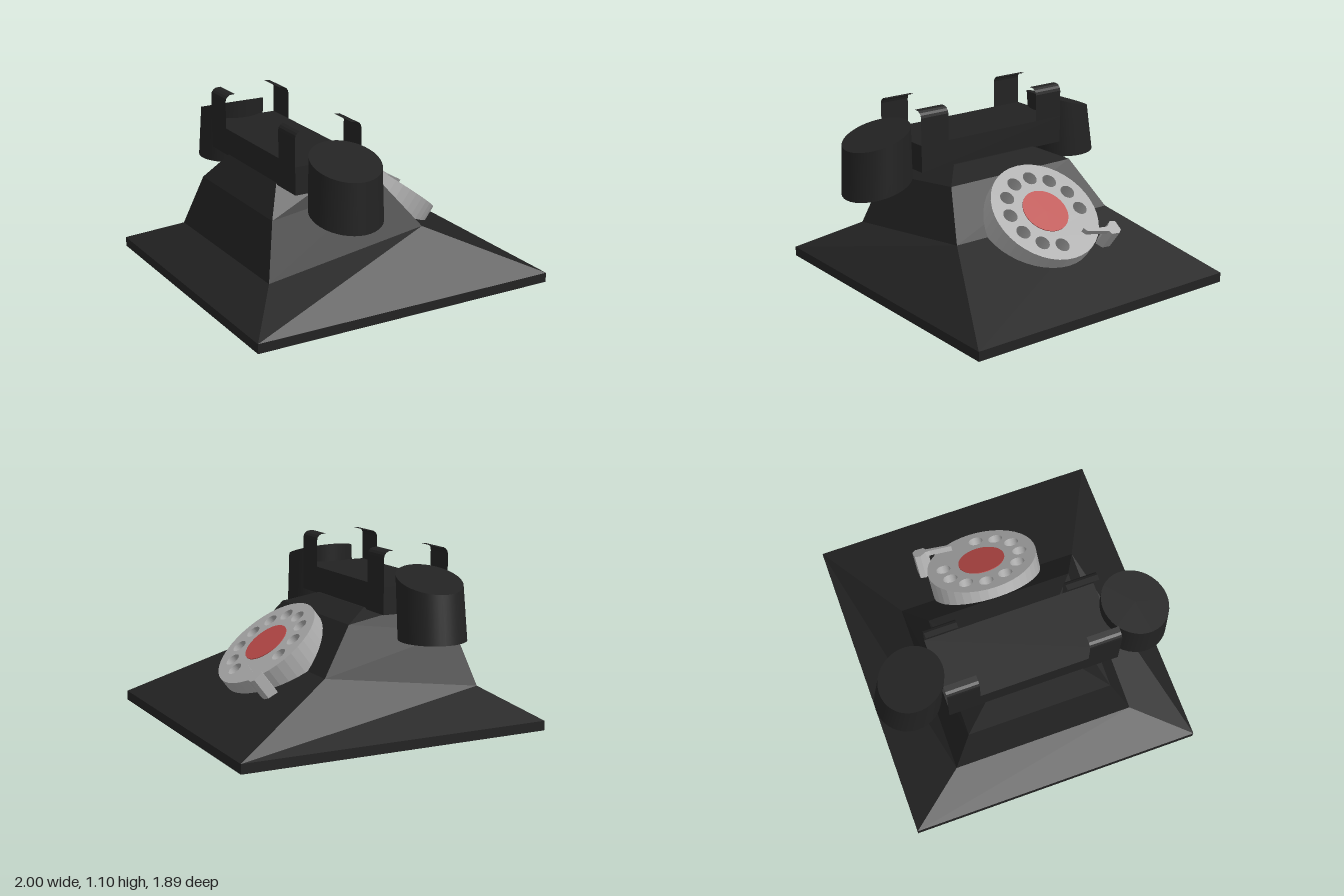
import * as THREE from 'three';

const black = new THREE.MeshStandardMaterial({ color: 0x222222, side: THREE.DoubleSide });
black.name = 'black casing';
const grey = new THREE.MeshStandardMaterial({ color: 0xaaaaaa });
grey.name = 'grey dial';
const red = new THREE.MeshStandardMaterial({ color: 0xba4a48 });
red.name = 'red centre';

function part(name, geometry, material, parent) {
  const mesh = new THREE.Mesh(geometry, material);
  mesh.name = name;
  parent.add(mesh);
  return mesh;
}

// Faceted shell from rectangular rings, open underneath
function bodyGeometry() {
  // each ring: xLow, y there, xHigh, y there, half depth
  const rings = [
    [-1, 0, 1, 0, 0.935],
    [-1, 0.06, 1, 0.06, 0.935],
    [-0.74, 0.23, 0.31, 0.385, 0.58],
    [-0.65, 0.56, 0.09, 0.665, 0.46],
    [-0.54, 0.73, -0.09, 0.73, 0.31],
  ].map(([xl, yl, xr, yr, z]) => [[xr, yr, z], [xr, yr, -z], [xl, yl, -z], [xl, yl, z]]);
  const points = [];
  const quad = (a, b, c, d) => points.push(...a, ...b, ...c, ...a, ...c, ...d);
  for (let r = 0; r < rings.length - 1; r++) {
    for (let i = 0; i < 4; i++) {
      const j = (i + 1) % 4;
      quad(rings[r][i], rings[r][j], rings[r + 1][j], rings[r + 1][i]);
    }
  }
  quad(...rings[rings.length - 1]);
  const g = new THREE.BufferGeometry();
  g.setAttribute('position', new THREE.Float32BufferAttribute(points, 3));
  g.computeVertexNormals();
  return g;
}

// Cylinder whose end caps have their own radius, centre and slope along z
function cupGeometry(x, top, bottom) {
  const g = new THREE.CylinderGeometry(1, 1, 1, 40);
  const p = g.attributes.position;
  for (let i = 0; i < p.count; i++) {
    const end = p.getY(i) > 0 ? top : bottom;
    const dz = p.getZ(i) * end.r;
    p.setXYZ(i, x + p.getX(i) * end.r, end.y + dz * end.slope, end.z + dz);
  }
  g.computeVertexNormals();
  return g;
}

// Thin upright cradle sheet with a rounded lip turned inwards (dir = +1 or -1)
function cradleGeometry(x, dir, z0, z1) {
  const profile = [[0, 0.72], [0, 1.06], [0.004, 1.077], [0.014, 1.09], [0.03, 1.1], [0.065, 1.102]];
  const points = [];
  for (let i = 0; i < profile.length - 1; i++) {
    const [a, b] = [profile[i], profile[i + 1]];
    const at = (q, z) => [x + dir * q[0], q[1], z];
    const [A, B, C, D] = [at(a, z0), at(a, z1), at(b, z1), at(b, z0)];
    if (dir < 0) points.push(...A, ...C, ...B, ...A, ...D, ...C);
    else points.push(...A, ...B, ...C, ...A, ...C, ...D);
  }
  const g = new THREE.BufferGeometry();
  g.setAttribute('position', new THREE.Float32BufferAttribute(points, 3));
  g.computeVertexNormals();
  return g;
}

function createHandset() {
  const handset = new THREE.Group();
  handset.name = 'handset';
  const handle = part('handle', new THREE.BoxGeometry(0.44, 0.17, 1.08), black, handset);
  handle.position.set(-0.32, 0.805, 0);

  for (const z of [0.34, -0.54]) {
    part('cradle plate', cradleGeometry(-0.1, -1, z, z + 0.2), black, handset);
    part('cradle plate', cradleGeometry(-0.54, 1, z, z + 0.2), black, handset);
  }

  part('front cup', cupGeometry(-0.315,
    { r: 0.21, y: 0.942, z: 0.722, slope: -0.3 },
    { r: 0.218, y: 0.625, z: 0.727, slope: -0.25 }), black, handset);
  part('back cup', cupGeometry(-0.32,
    { r: 0.2, y: 0.942, z: -0.695, slope: 0.31 },
    { r: 0.205, y: 0.59, z: -0.737, slope: 0 }), black, handset);
  return handset;
}

function createDial() {
  const dial = new THREE.Group();
  dial.name = 'dial';
  // local x runs to the back, y up the slope, z out of the dial face
  dial.applyMatrix4(new THREE.Matrix4().makeBasis(
    new THREE.Vector3(0, 0, -1),
    new THREE.Vector3(-0.795, 0.606, 0),
    new THREE.Vector3(0.606, 0.795, 0)).setPosition(0.42, 0.505, 0));

  // Wheel with ten finger holes
  const wheel = new THREE.Shape().absarc(0, 0, 0.355, 0, Math.PI * 2, false);
  for (let i = 0; i < 10; i++) {
    const a = THREE.MathUtils.degToRad(-9 + i * 30.3);
    wheel.holes.push(new THREE.Path().absarc(
      0.25 * Math.cos(a), 0.25 * Math.sin(a), 0.046, 0, Math.PI * 2, true));
  }
  const wheelGeometry = new THREE.ExtrudeGeometry(wheel, { depth: 0.21, bevelEnabled: false, curveSegments: 20 });
  part('finger wheel', wheelGeometry, grey, dial).position.z = -0.21;

  // Red hub running down through the wheel
  const hub = part('hub', new THREE.CylinderGeometry(0.15, 0.15, 0.335, 40), red, dial);
  hub.rotation.x = Math.PI / 2;
  hub.position.z = -0.163;

  // Finger stop: slim arm over the wheel and a post beside it
  const extrude = (pts, depth) => new THREE.ExtrudeGeometry(
    new THREE.Shape(pts.map(([x, y]) => new THREE.Vector2(x, y))), { depth, bevelEnabled: false });
  const arm = [[0.14, -0.205], [0.155, -0.23], [0.31, -0.272], [0.33, -0.235], [0.28, -0.235]];
  part('finger stop arm', extrude(arm, 0.035), grey, dial).position.z = 0.015;
  const post = [[0.29, -0.25], [0.31, -0.295], [0.365, -0.3], [0.388, -0.28], [0.385, -0.215], [0.35, -0.205]];
  part('finger stop post', extrude(post, 0.17), grey, dial).position.z = -0.12;
  return dial;
}

export function createModel() {
  const model = new THREE.Group();
  model.name = 'rotary telephone';
  part('body', bodyGeometry(), black, model);
  model.add(createHandset(), createDial());
  return model;
}
